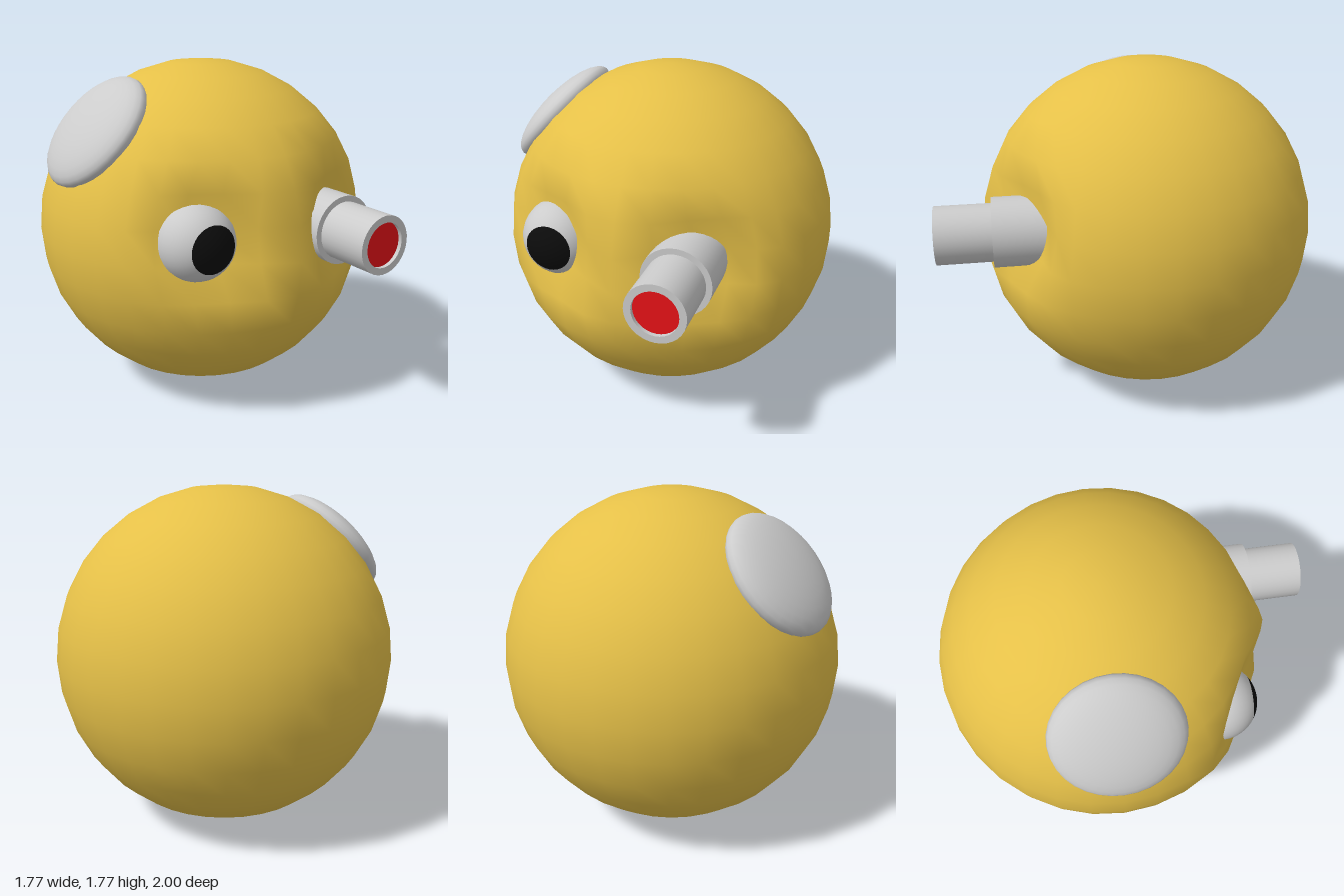
import * as THREE from 'three';
import { mergeVertices } from 'three/addons/utils/BufferGeometryUtils.js';

const EYE_Y = 0.98;
const CENTRE = new THREE.Vector3(0, 0.885, -0.115);
const RADIUS = 0.885;

const material = (color) => new THREE.MeshStandardMaterial({ color });

function part(name, geometry, mat, x = 0, y = 0, z = 0) {
  const mesh = new THREE.Mesh(geometry, mat);
  mesh.name = name;
  mesh.position.set(x, y, z);
  return mesh;
}

// Ball with a soft hollow pressed in for each eye
function headGeometry() {
  const ball = new THREE.SphereGeometry(RADIUS, 32, 16);
  ball.deleteAttribute('uv');
  ball.deleteAttribute('normal');
  const geo = mergeVertices(ball, 1e-4);
  const pos = geo.attributes.position;
  for (let i = 0; i < pos.count; i++) {
    if (pos.getZ(i) <= 0) continue;
    const dx = Math.abs(pos.getX(i)) - 0.38;
    const dy = pos.getY(i) + CENTRE.y - 1.0;
    const falloff = Math.max(0, 1 - (dx * dx + dy * dy) / 0.16);
    pos.setZ(i, pos.getZ(i) - 0.19 * falloff * falloff);
  }
  geo.computeVertexNormals();
  return geo;
}

// Turned profile [radius, z], with each segment kept sharp, axis along z
function turned(profile) {
  const points = [];
  profile.forEach(([r, z], i) => {
    points.push(new THREE.Vector2(r, z));
    if (i > 0 && i < profile.length - 1) points.push(new THREE.Vector2(r, z));
  });
  return new THREE.LatheGeometry(points, 32).rotateX(Math.PI / 2);
}

export function createModel() {
  const group = new THREE.Group();
  const grey = material(0xcccccc);

  group.add(part('head', headGeometry(), material(0xe5c048), CENTRE.x, CENTRE.y, CENTRE.z));

  // Right eye: white ball with a dark cap, both facing forward
  const capAngle = 0.6435;
  const eye = new THREE.Group();
  eye.name = 'rightEye';
  eye.position.set(-0.4, EYE_Y, 0.45);
  const white = new THREE.SphereGeometry(0.2, 32, 16, 0, Math.PI * 2, capAngle, Math.PI - capAngle);
  const pupil = new THREE.SphereGeometry(0.2, 32, 6, 0, Math.PI * 2, 0, capAngle);
  eye.add(part('eyeball', white.rotateX(Math.PI / 2), grey));
  eye.add(part('pupil', pupil.rotateX(Math.PI / 2), material(0x0c0c0c)));
  group.add(eye);

  // Left eye: collar and tube with a red lens set into the end
  const scope = new THREE.Group();
  scope.name = 'leftEyeScope';
  scope.position.set(0.305, EYE_Y, 0);
  const barrel = turned([
    [0, 0.4], [0.177, 0.4], [0.177, 0.72], [0.147, 0.72],
    [0.147, 1], [0.112, 1], [0.112, 0.98],
  ]);
  scope.add(part('barrel', barrel, grey));
  scope.add(part('lens', new THREE.CircleGeometry(0.112, 32), material(0xe61217), 0, 0, 0.98));
  group.add(scope);

  // Flattened round plate on the upper right of the head
  const outward = new THREE.Vector3(-0.745, 0.667, 0).normalize();
  const plate = part('headPlate', new THREE.SphereGeometry(0.33, 32, 16).scale(1, 0.34, 1), grey);
  plate.quaternion.setFromUnitVectors(new THREE.Vector3(0, 1, 0), outward);
  plate.position.copy(CENTRE).addScaledVector(outward, 0.84);
  group.add(plate);

  return group;
}
